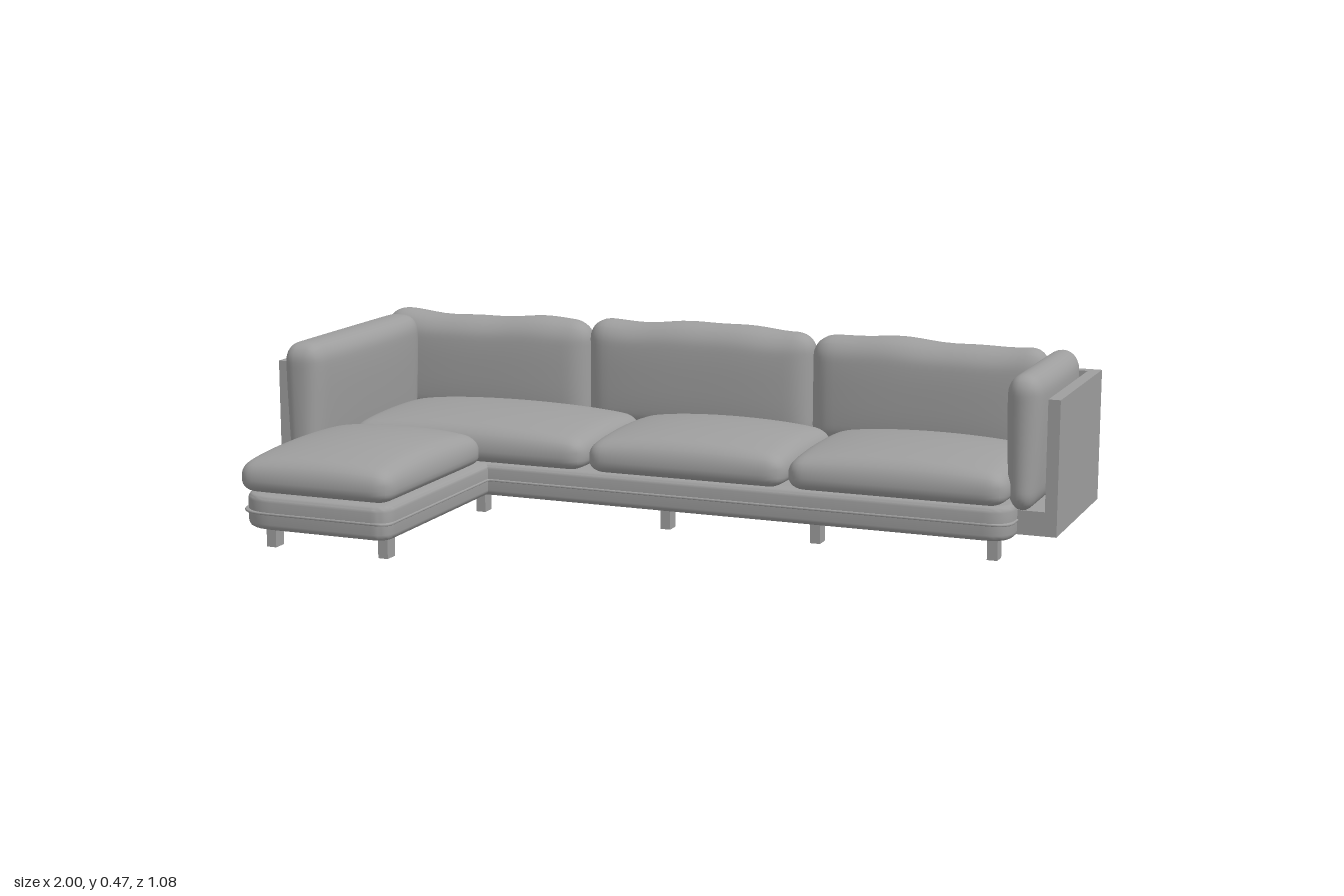
import * as THREE from 'three';
import { mergeVertices, toCreasedNormals } from 'three/addons/utils/BufferGeometryUtils.js';

const fabric = new THREE.MeshStandardMaterial({ color: 0x9e9e9e });
const AXES = ['x', 'y', 'z'];

function addMesh(parent, name, geometry) {
  const mesh = new THREE.Mesh(geometry, fabric);
  mesh.name = name;
  parent.add(mesh);
  return mesh;
}

// Box given by its [min, max] range on each axis
function addBox(parent, name, x, y, z) {
  const g = new THREE.BoxGeometry(x[1] - x[0], y[1] - y[0], z[1] - z[0]);
  g.translate((x[0] + x[1]) / 2, (y[0] + y[1]) / 2, (z[0] + z[1]) / 2);
  return addMesh(parent, name, g);
}

// Side panel with a low ledge on its inner face, extruded from z = -0.51 to the front
function addSidePanel(parent, name, side, ledge, front) {
  const outline = [[1, 0.065], [1, 0.4], [0.97, 0.4], [0.97, 0.125], [ledge, 0.125], [ledge, 0.065]];
  const shape = new THREE.Shape(outline.map(([x, y]) => new THREE.Vector2(side * x, y)));
  const g = new THREE.ExtrudeGeometry(shape, { depth: front + 0.51, bevelEnabled: false });
  g.translate(0, 0, -0.51);
  return addMesh(parent, name, g);
}

// Soft cushion: a rounded box that swells from its rim (edge = rim thickness fraction)
// along the thin axis. flat keeps the underside level, wave ruffles the upper border,
// taper thins it towards the floor and pinch pulls the corners in.
function addCushion(parent, name, x, y, z,
  { axis = 'y', edge = 0.7, radius = 0.045, flat = false, wave = 0, taper = 0, pinch = 0, power = 2.6 }) {
  const half = new THREE.Vector3(x[1] - x[0], y[1] - y[0], z[1] - z[0]).multiplyScalar(0.5);
  const centre = new THREE.Vector3(x[0] + x[1], y[0] + y[1], z[0] + z[1]).multiplyScalar(0.5);
  const inner = half.clone().subScalar(radius);
  const innerMin = inner.clone().negate();
  let g = new THREE.BoxGeometry(2, 2, 2, ...AXES.map((a) => (a === axis ? 10 : 32)));
  g.deleteAttribute('uv');
  g.deleteAttribute('normal');
  g = mergeVertices(g, 1e-5);
  const [a, b] = AXES.filter((k) => k !== axis);
  const pos = g.attributes.position;
  const p = new THREE.Vector3(), core = new THREE.Vector3();
  for (let i = 0; i < pos.count; i++) {
    p.fromBufferAttribute(pos, i);
    for (const k of AXES) p[k] = Math.sin((p[k] * Math.PI) / 2) * half[k];
    // round the corners
    core.copy(p).clamp(innerMin, inner);
    p.sub(core);
    p.setLength(Math.max(Math.abs(p.x), Math.abs(p.y), Math.abs(p.z))).add(core);
    // swell towards the middle
    const u = Math.abs(p[a] / half[a]), v = Math.abs(p[b] / half[b]);
    let f = edge + (1 - edge) * Math.sqrt(Math.max(0, (1 - u ** power) * (1 - v ** power)));
    f *= 1 - taper * (0.5 - p.y / half.y / 2);
    p[axis] = flat ? -half[axis] + (p[axis] + half[axis]) * f : p[axis] * f;
    const corner = 1 - pinch * (u * v) ** 4;
    p[a] *= corner;
    p[b] *= corner;
    p.add(centre);
    if (wave) {
      const top = THREE.MathUtils.smoothstep(p.y, centre.y, y[1]);
      p.y += wave * top * (Math.sin(13 * p.x + 5 * p.z + 4) + 0.4 * Math.sin(31 * p.x + 17 * p.z));
    }
    pos.setXYZ(i, p.x, p.y, p.z);
  }
  g.computeVertexNormals();
  return addMesh(parent, name, g);
}

// L-shaped plan with rounded corners, pulled in by `inset`; entries are [x, z, corner radius]
function basePlan(inset) {
  const i = inset;
  const pts = [
    [-0.89 + i, -0.425 + i, 0.02], [0.905 - i, -0.425 + i, 0.02], [0.905 - i, -0.01 - i, 0.05],
    [-0.47 - i, -0.01 - i, 0.01], [-0.47 - i, 0.54 - i, 0.03], [-0.89 + i, 0.54 - i, 0.08],
  ].map(([px, pz, r]) => ({ v: new THREE.Vector2(px, pz), r }));
  const shape = new THREE.Shape();
  pts.forEach(({ v, r }, k) => {
    const prev = pts[(k + pts.length - 1) % pts.length].v, next = pts[(k + 1) % pts.length].v;
    const from = v.clone().add(prev.clone().sub(v).setLength(r));
    const to = v.clone().add(next.clone().sub(v).setLength(r));
    if (k === 0) shape.moveTo(from.x, from.y);
    else shape.lineTo(from.x, from.y);
    shape.quadraticCurveTo(v.x, v.y, to.x, to.y);
  });
  shape.closePath();
  return shape;
}

function addBaseLayer(parent, name, y0, y1, inset, bevel) {
  const g = new THREE.ExtrudeGeometry(basePlan(inset + bevel), {
    depth: y1 - y0 - 2 * bevel, bevelSize: bevel, bevelThickness: bevel, bevelSegments: 4, curveSegments: 8,
  });
  g.rotateX(Math.PI / 2);
  g.translate(0, y1 - bevel, 0);
  return addMesh(parent, name, toCreasedNormals(g, 0.7));
}

export function createModel() {
  const sofa = new THREE.Group();
  sofa.name = 'cornerSofa';

  // Outer shell: back and two side panels of different depth
  const shell = new THREE.Group();
  shell.name = 'shell';
  sofa.add(shell);
  addBox(shell, 'backPanel', [-1, 1], [0.065, 0.4], [-0.54, -0.51]);
  addBox(shell, 'backLedge', [-0.97, 0.97], [0.065, 0.14], [-0.51, -0.41]);
  addSidePanel(shell, 'leftPanel', 1, 0.89, -0.09);
  addSidePanel(shell, 'rightPanel', -1, 0.88, 0.125);

  // Upholstered base with a seam line around it
  const base = new THREE.Group();
  base.name = 'base';
  sofa.add(base);
  addBaseLayer(base, 'baseBody', 0.058, 0.143, 0.002, 0.015);
  addBaseLayer(base, 'baseSeam', 0.097, 0.103, -0.001, 0.002);

  // Seat cushions, with the chaise reaching forward
  const seat = { edge: 0.6, flat: true, pinch: 0.03, power: 2 };
  const seats = [[-0.88, -0.2], [-0.2, 0.335], [0.335, 0.895]];
  seats.forEach((x, i) => addCushion(sofa, `seatCushion${i + 1}`, x, [0.142, 0.258], [-0.43, 0.005], seat));
  addCushion(sofa, 'chaiseCushion', [-0.893, -0.467], [0.145, 0.258], [0.002, 0.54], seat);

  // Back cushions
  const backs = [[-0.98, -0.365, 0.457], [-0.367, 0.268, 0.469], [0.265, 0.885, 0.462]];
  backs.forEach(([x0, x1, top], i) =>
    addCushion(sofa, `backCushion${i + 1}`, [x0, x1], [0.17, top], [-0.515, -0.383],
      { axis: 'z', edge: 0.6, radius: 0.055, wave: 0.005 }));

  // Arm cushions, slimmer towards the bottom
  const arm = { axis: 'x', edge: 0.7, radius: 0.048, taper: 0.25 };
  addCushion(sofa, 'leftArmCushion', [0.862, 0.968], [0.125, 0.458], [-0.508, -0.048], arm);
  addCushion(sofa, 'rightArmCushion', [-0.974, -0.838], [0.125, 0.458], [-0.402, 0.19], arm);

  // Legs: back row, middle row and the two under the chaise front
  const legs = new THREE.Group();
  legs.name = 'legs';
  sofa.add(legs);
  const rows = [[-0.475, [-0.83, -0.52, 0, 0.4, 0.85]], [-0.085, [-0.52, 0, 0.4, 0.85]], [0.453, [-0.83, -0.52]]];
  for (const [z, xs] of rows)
    for (const x of xs) addBox(legs, 'leg', [x - 0.013, x + 0.013], [0, 0.066], [z - 0.019, z + 0.019]);

  return sofa;
}
